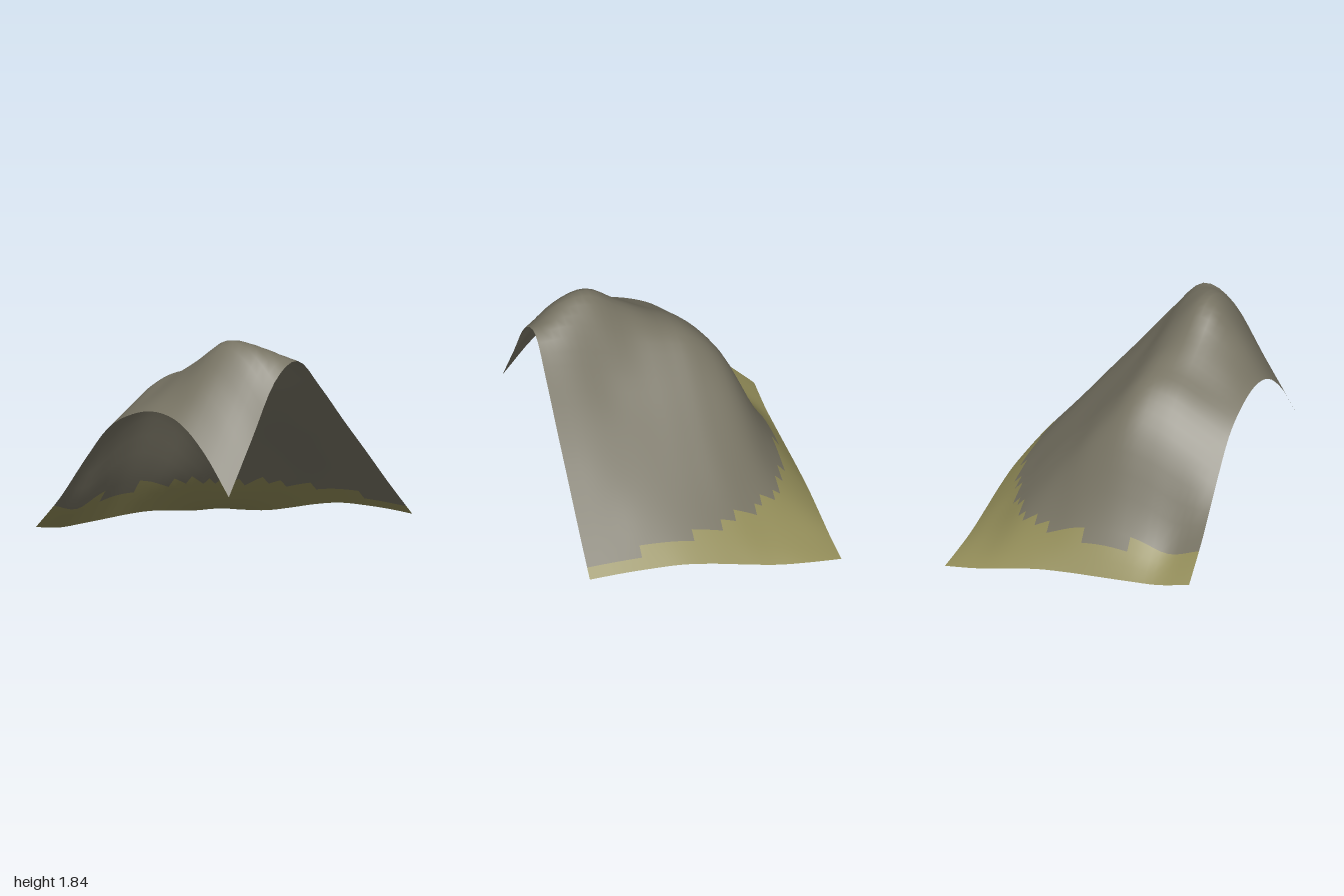
import * as THREE from 'three';

// Control heights: rows run from the back (z = -1) to the front (z = 1), columns from x = -1 to x = 1
const HEIGHTS = [
  [0.22, 0.17, 0.155, 0.145, 0.135, 0.115, 0.072, 0.027, 0],
  [0.49, 0.43, 0.52, 0.57, 0.53, 0.41, 0.28, 0.125, 0.03],
  [0.82, 0.95, 1.07, 1.12, 0.99, 0.74, 0.485, 0.24, 0.07],
  [1.12, 1.25, 1.37, 1.38, 1.16, 0.89, 0.63, 0.365, 0.135],
  [1.27, 1.39, 1.50, 1.47, 1.23, 0.965, 0.71, 0.455, 0.205],
  [1.33, 1.52, 1.66, 1.55, 1.28, 1.02, 0.77, 0.52, 0.26],
  [1.28, 1.60, 1.835, 1.67, 1.34, 1.075, 0.82, 0.56, 0.285],
  [1.09, 1.47, 1.79, 1.735, 1.42, 1.13, 0.86, 0.575, 0.30],
  [0.80, 1.20, 1.60, 1.72, 1.47, 1.17, 0.88, 0.585, 0.305],
];

// Edge of the rock: up to each x, rock starts in front of this z
const ROCK_EDGE = [
  [-0.4375, -0.8125], [-0.0625, -0.875], [0.25, -0.8125], [0.375, -0.75],
  [0.5, -0.6875], [0.5625, -0.625], [0.625, -0.5], [0.6875, -0.4375],
  [0.75, -0.25], [0.8125, -0.125], [0.875, 0.125], [0.9375, 0.5625], [1, 1],
];

// Smooth curve through evenly spaced values, t from -1 to 1
function spline(values, t) {
  const n = values.length - 1;
  const s = (t + 1) / 2 * n;
  const i = Math.min(n - 1, Math.max(0, Math.floor(s)));
  const f = s - i;
  const b = values[i], c = values[i + 1];
  const a = i > 0 ? values[i - 1] : 2 * b - c;
  const d = i < n - 1 ? values[i + 2] : 2 * c - b;
  return b + 0.5 * f * (c - a + f * (2 * a - 5 * b + 4 * c - d + f * (3 * (b - c) + d - a)));
}

const heightAt = (x, z) => Math.max(0, spline(HEIGHTS.map((row) => spline(row, x)), z));

const isRock = (x, z) => z > ROCK_EDGE.find(([maxX]) => x < maxX)[1];

export function createModel() {
  const grass = new THREE.MeshStandardMaterial({ color: 0x938d59, side: THREE.DoubleSide });
  grass.name = 'olive grass';
  const rock = new THREE.MeshStandardMaterial({ color: 0x787464, side: THREE.DoubleSide });
  rock.name = 'grey rock';

  // Hillside sheet, lifted by the height rule
  const cells = 32;
  const geometry = new THREE.PlaneGeometry(2, 2, cells, cells).rotateX(-Math.PI / 2);
  const position = geometry.attributes.position;
  for (let i = 0; i < position.count; i++) {
    position.setY(i, heightAt(position.getX(i), position.getZ(i)));
  }

  // Sort the square cells into grass and rock
  const source = geometry.index.array;
  const grassFaces = [], rockFaces = [];
  for (let cell = 0; cell < cells * cells; cell++) {
    const x = -1 + (2 * (cell % cells) + 1) / cells;
    const z = -1 + (2 * Math.floor(cell / cells) + 1) / cells;
    (isRock(x, z) ? rockFaces : grassFaces).push(...source.slice(cell * 6, cell * 6 + 6));
  }
  geometry.setIndex([...grassFaces, ...rockFaces]);
  geometry.clearGroups();
  geometry.addGroup(0, grassFaces.length, 0);
  geometry.addGroup(grassFaces.length, rockFaces.length, 1);
  geometry.computeVertexNormals();

  const hill = new THREE.Mesh(geometry, [grass, rock]);
  hill.name = 'hillside';
  const group = new THREE.Group();
  group.name = 'terrain';
  group.add(hill);
  return group;
}
